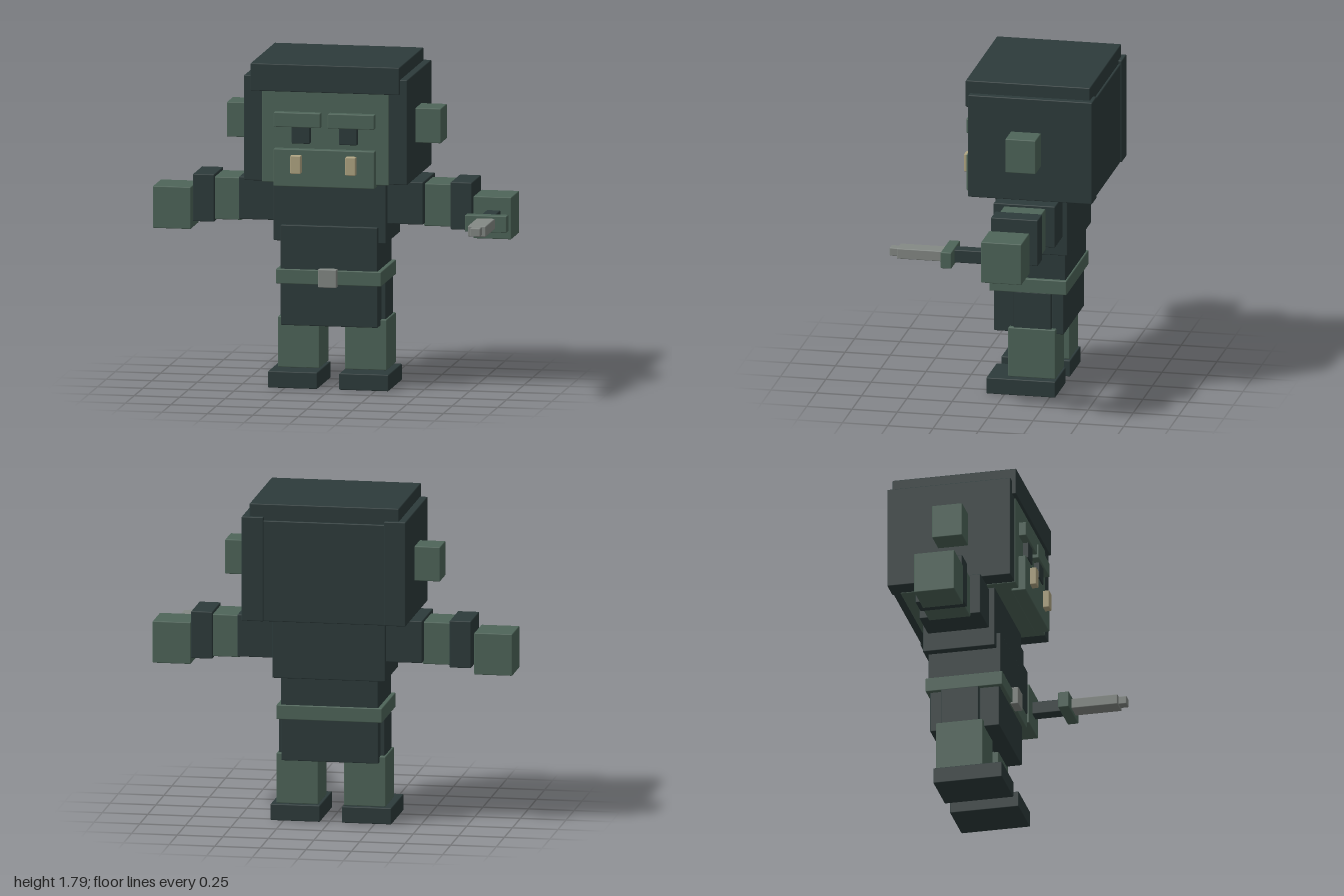
import * as THREE from 'three';
import { RoundedBoxGeometry } from 'three/addons/geometries/RoundedBoxGeometry.js';

const CENTRE = -0.01; // mirror plane of the body

export function createModel() {
  const model = new THREE.Group();
  model.name = 'blockFighter';

  const makeMaterial = (name, color) => {
    const m = new THREE.MeshStandardMaterial({ color });
    m.name = name;
    return m;
  };
  const skin = makeMaterial('mossGreen', 0x4e6559);
  const dark = makeMaterial('darkSlate', 0x2d3b3b);
  const ivory = makeMaterial('ivory', 0xb0a582);
  const metal = makeMaterial('dullMetal', 0x848985);

  // Slightly bevelled block given by its extents on each axis
  const block = (name, material, [x0, x1], [y0, y1], [z0, z1], parent = model) => {
    const geometry = new RoundedBoxGeometry(x1 - x0, y1 - y0, z1 - z0, 1, 0.005);
    const mesh = new THREE.Mesh(geometry, material);
    mesh.name = name;
    mesh.position.set((x0 + x1) / 2, (y0 + y1) / 2, (z0 + z1) / 2);
    parent.add(mesh);
    return mesh;
  };
  // Left and right copies; x is the distance from the mirror plane
  const pair = (name, material, [a, b], y, z, parent = model) => {
    block(name + 'Left', material, [CENTRE + a, CENTRE + b], y, z, parent);
    block(name + 'Right', material, [CENTRE - b, CENTRE - a], y, z, parent);
  };
  const centred = (name, material, half, y, z, parent = model) =>
    block(name, material, [CENTRE - half, CENTRE + half], y, z, parent);
  const group = (name) => {
    const g = new THREE.Group();
    g.name = name;
    model.add(g);
    return g;
  };

  // Head: face block wrapped by hair panels
  const head = group('head');
  centred('face', skin, 0.35, [1.14, 1.66], [-0.46, 0.18], head);
  pair('hairSide', dark, [0.33, 0.45], [1.145, 1.72], [-0.51, 0.175], head);
  centred('hairBack', dark, 0.335, [1.145, 1.70], [-0.502, -0.42], head);
  centred('hairTop', dark, 0.41, [1.64, 1.79], [-0.49, 0.197], head);
  pair('ear', skin, [0.44, 0.59], [1.34, 1.53], [-0.228, -0.06], head);
  pair('eye', dark, [0.08, 0.18], [1.36, 1.46], [0.16, 0.212], head);
  pair('brow', skin, [0.02, 0.277], [1.45, 1.53], [0.16, 0.222], head);
  centred('muzzle', skin, 0.278, [1.125, 1.33], [0.14, 0.22], head);
  pair('tusk', ivory, [0.122, 0.18], [1.20, 1.30], [0.20, 0.255], head);

  // Torso, belt and skirt
  const body = group('body');
  centred('chest', dark, 0.31, [0.80, 1.142], [-0.345, 0.055], body);
  centred('waist', dark, 0.267, [0.57, 0.89], [-0.325, 0.078], body);
  centred('belt', skin, 0.29, [0.57, 0.65], [-0.335, 0.092], body);
  block('buckle', metal, [-0.062, 0.04], [0.56, 0.66], [0.08, 0.125], body);
  centred('skirtFront', dark, 0.267, [0.34, 0.575], [-0.04, 0.07], body);
  centred('skirtBack', dark, 0.267, [0.34, 0.575], [-0.315, -0.25], body);
  centred('skirtSides', dark, 0.29, [0.343, 0.575], [-0.25, -0.04], body);

  // Legs
  const legs = group('legs');
  pair('leg', skin, [0.07, 0.30], [0.095, 0.372], [-0.276, -0.014], legs);
  pair('foot', dark, [0.06, 0.332], [0, 0.09], [-0.282, 0.10], legs);

  // Arms held straight out
  const arms = group('arms');
  pair('shoulder', dark, [0.30, 0.507], [0.905, 1.137], [-0.318, 0.022], arms);
  pair('forearm', skin, [0.50, 0.655], [0.89, 1.122], [-0.265, -0.035], arms);
  pair('cuff', dark, [0.65, 0.768], [0.878, 1.137], [-0.278, -0.018], arms);
  pair('hand', skin, [0.777, 0.987], [0.835, 1.065], [-0.234, -0.01], arms);

  // Short blade in the left hand
  const dagger = group('dagger');
  block('grip', dark, [0.84, 0.916], [0.92, 0.992], [-0.05, 0.16], dagger);
  block('guard', skin, [0.763, 0.993], [0.907, 0.998], [0.15, 0.21], dagger);
  block('blade', metal, [0.828, 0.928], [0.925, 0.983], [0.2, 0.465], dagger);
  block('bladeTip', metal, [0.85, 0.906], [0.932, 0.978], [0.45, 0.51], dagger);

  return model;
}
